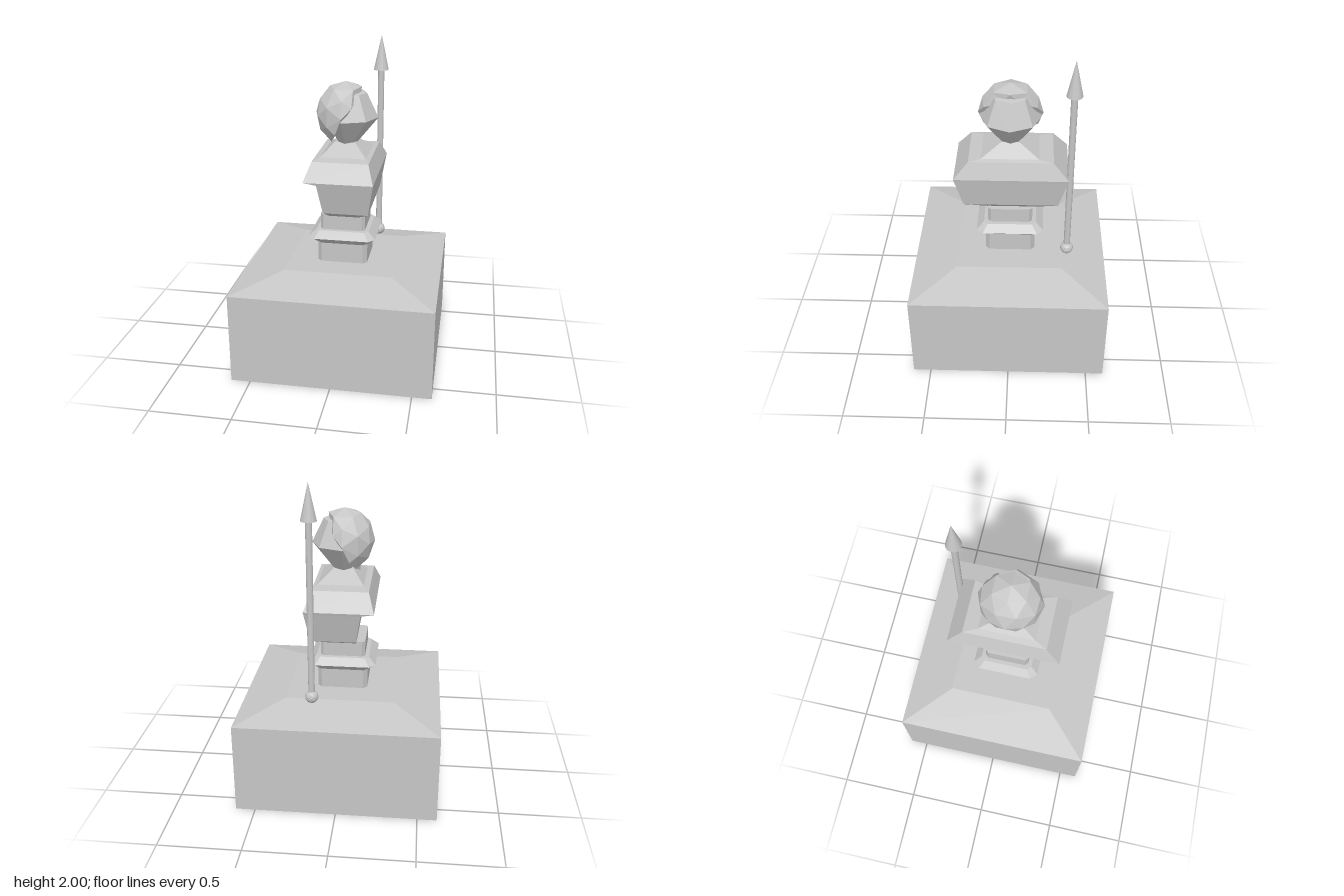
import * as THREE from 'three';

const stone = new THREE.MeshStandardMaterial({ color: 0xc6c6c6, flatShading: true });
stone.name = 'stone';
const smoothStone = stone;

// Corners of a rectangle, cut diagonally when c > 0, in outward-facing order
function ring([y, x0, x1, z0, z1, c = 0]) {
  const p = c > 0
    ? [[x1, z1 - c], [x1, z0 + c], [x1 - c, z0], [x0 + c, z0], [x0, z0 + c], [x0, z1 - c], [x0 + c, z1], [x1 - c, z1]]
    : [[x1, z1], [x1, z0], [x0, z0], [x0, z1]];
  return p.map(([x, z]) => [x, y, z]);
}

// Closed loft through rectangular sections, listed from bottom to top
function loft(sections) {
  const rings = sections.map(ring);
  const n = rings[0].length;
  const pos = [];
  const tri = (a, b, c) => pos.push(...a, ...b, ...c);
  for (let k = 0; k < rings.length - 1; k++) {
    const lo = rings[k], hi = rings[k + 1];
    for (let i = 0; i < n; i++) {
      const j = (i + 1) % n;
      tri(lo[i], lo[j], hi[j]);
      tri(lo[i], hi[j], hi[i]);
    }
  }
  const first = rings[0], last = rings[rings.length - 1];
  for (let i = 1; i < n - 1; i++) {
    tri(first[0], first[i + 1], first[i]);
    tri(last[0], last[i], last[i + 1]);
  }
  const g = new THREE.BufferGeometry();
  g.setAttribute('position', new THREE.Float32BufferAttribute(pos, 3));
  g.computeVertexNormals();
  return g;
}

// Move every vertex by a rule
function reshape(geometry, rule) {
  const p = geometry.attributes.position;
  const v = new THREE.Vector3();
  for (let i = 0; i < p.count; i++) {
    rule(v.fromBufferAttribute(p, i));
    p.setXYZ(i, v.x, v.y, v.z);
  }
  geometry.computeVertexNormals();
  return geometry;
}

export function createModel() {
  const model = new THREE.Group();
  model.name = 'bustMonument';
  const add = (name, geometry, parent = model, x = 0, y = 0, z = 0) => {
    const m = new THREE.Mesh(geometry, smoothStone);
    m.name = name;
    m.position.set(x, y, z);
    parent.add(m);
    return m;
  };
  const square = (y, r, c) => [y, -r, r, -r, r, c];

  // Block with a sloping top
  add('base', loft([
    [0, -0.62, 0.62, -0.61, 0.61],
    [0.575, -0.62, 0.62, -0.61, 0.61],
    [0.645, -0.335, 0.335, -0.33, 0.33],
  ]));

  // Pedestal with cut corners and a projecting moulding
  add('pedestal', loft([
    square(0.62, 0.157, 0.025),
    square(0.77, 0.157, 0.025),
    square(0.815, 0.21, 0.04),
    square(0.857, 0.165, 0.025),
    square(0.858, 0.14, 0.02),
    square(0.955, 0.14, 0.02),
  ]));

  // Torso faces +x; the shoulders overhang the back
  add('torso', loft([
    [0.95, -0.085, 0.1, -0.15, 0.145],
    [1.02, -0.095, 0.18, -0.297, 0.286],
    [1.21, -0.125, 0.212, -0.35, 0.336],
    [1.225, -0.205, 0.215, -0.355, 0.34],
    [1.33, -0.168, 0.175, -0.262, 0.25],
    [1.338, -0.13, 0.15, -0.175, 0.175],
    [1.405, -0.06, 0.065, -0.055, 0.055],
  ]));

  // Head: eight-sided face, shallower at the back
  const head = new THREE.Group();
  head.name = 'head';
  model.add(head);
  const profile = [[0, 1.39], [0.07, 1.395], [0.2, 1.555], [0.128, 1.705], [0, 1.73]]
    .map(([r, y]) => new THREE.Vector2(r, y));
  add('face', reshape(new THREE.LatheGeometry(profile, 8), (v) => {
    if (v.x < 0) v.x *= 0.7;
    v.z *= 0.94;
  }), head);

  // Hair: faceted ball cut off along a slanting hairline
  add('hair', reshape(new THREE.IcosahedronGeometry(0.195, 1), (v) => {
    v.x = Math.min(v.x * 0.95, 0.6 * v.y + 0.02);
  }), head, 0, 1.577, 0);

  // Spear standing behind the left shoulder
  const spear = new THREE.Group();
  spear.name = 'spear';
  spear.position.set(0.168, 0, -0.364);
  model.add(spear);
  add('spearBall', new THREE.IcosahedronGeometry(0.042, 1), spear, 0, 0.68, 0);
  add('spearShaft', new THREE.CylinderGeometry(0.02, 0.02, 1.1, 16), spear, 0, 1.23, 0);
  add('spearTip', new THREE.ConeGeometry(0.048, 0.22, 16), spear, 0, 1.89, 0);

  return model;
}
